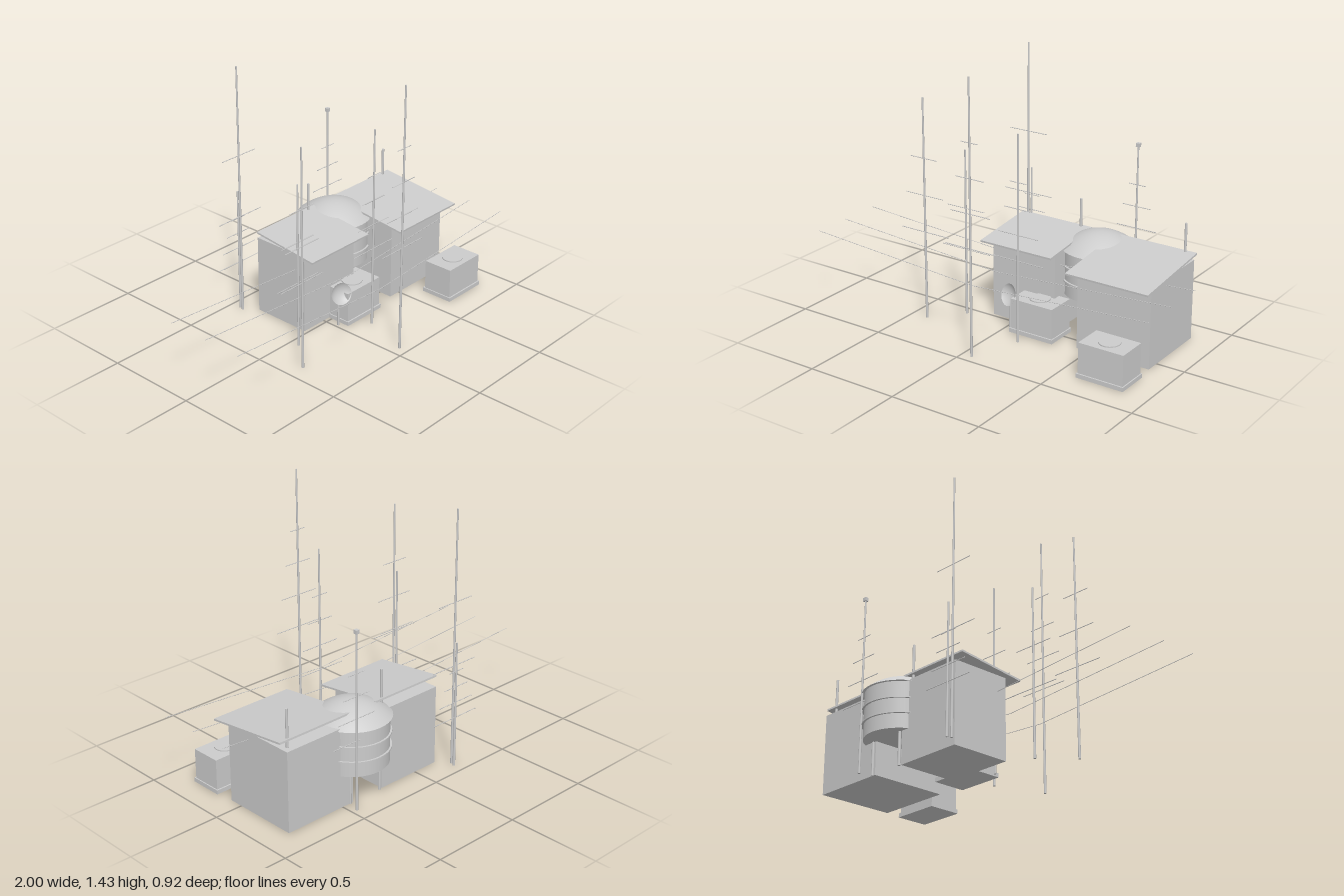
import * as THREE from 'three';

const grey = new THREE.MeshStandardMaterial({ color: 0xcccccc });
const greyDouble = new THREE.MeshStandardMaterial({ color: 0xcccccc, side: THREE.DoubleSide });

export function createModel() {
  const model = new THREE.Group();

  function add(name, geometry, x, y, z, parent = model, material = grey) {
    const mesh = new THREE.Mesh(geometry, material);
    mesh.name = name;
    mesh.position.set(x, y, z);
    parent.add(mesh);
    return mesh;
  }
  const box = (name, w, h, d, x, bottom, z, parent) =>
    add(name, new THREE.BoxGeometry(w, h, d), x, bottom + h / 2, z, parent);
  const post = (name, rTop, rBottom, h, x, bottom, z, parent) =>
    add(name, new THREE.CylinderGeometry(rTop, rBottom, h, 8), x, bottom + h / 2, z, parent);

  // Block with a roof slab that slopes down to the front, and a chimney pipe
  function house(name, x, width, frontZ, chimneyX) {
    const backZ = -0.35, depth = frontZ - backZ, z = (frontZ + backZ) / 2;
    const group = new THREE.Group();
    group.name = name;
    box('walls', width, 0.43, depth, x, 0, z, group);
    const roofZ = z + 0.05;
    const roof = box('roof', width + 0.05, 0.01, depth + 0.06, x, 0.434 - 0.11 * roofZ, roofZ, group);
    roof.rotation.x = 0.11;
    post('chimney', 0.007, 0.007, 0.2, chimneyX, 0.43, -0.313, group);
    model.add(group);
  }
  house('leftHouse', 0.638, 0.415, 0.075, 0.812);
  house('rightHouse', 0.045, 0.38, -0.02, 0.202);

  // Raised round tower with hoops and a shallow dome
  const tower = new THREE.Group();
  tower.name = 'roundTower';
  tower.position.set(0.35, 0, -0.26);
  model.add(tower);
  add('drum', new THREE.CylinderGeometry(0.186, 0.186, 0.245, 40), 0, 0.2975, 0, tower);
  for (const y of [0.255, 0.335])
    add('hoop', new THREE.CylinderGeometry(0.196, 0.196, 0.007, 40), 0, y, 0, tower);
  const domeProfile = [];
  for (let i = 0; i <= 10; i++) {
    const r = 0.2 * (1 - i / 10);
    domeProfile.push(new THREE.Vector2(r, 0.42 + 0.083 * (1 - (r / 0.2) ** 2)));
  }
  add('dome', new THREE.LatheGeometry(domeProfile, 40), 0, 0, 0, tower, greyDouble);
  for (const x of [-0.1, 0.1]) post('towerLeg', 0.008, 0.008, 0.19, x, 0, -0.09, tower);

  // Cabinets on plinths with a round lid
  for (const [x, z] of [[0.175, 0.022], [0.73, 0.257]]) {
    const cabinet = new THREE.Group();
    cabinet.name = 'cabinet';
    cabinet.position.set(x, 0, z);
    box('plinth', 0.262, 0.022, 0.182, 0, 0, 0, cabinet);
    box('body', 0.25, 0.184, 0.166, 0, 0, 0, cabinet);
    add('lid', new THREE.CylinderGeometry(0.055, 0.055, 0.006, 24), 0, 0.187, 0, cabinet);
    model.add(cabinet);
  }

  // Dish on a short post
  post('dishPost', 0.006, 0.006, 0.16, 0.02, 0, 0.066);
  const dishGeometry = new THREE.SphereGeometry(0.085, 24, 8, 0, Math.PI * 2, 0, 0.75);
  dishGeometry.translate(0, -0.085, 0).rotateX(-Math.PI / 2);
  const dish = add('dish', dishGeometry, 0.03, 0.183, 0.065, model, greyDouble);
  dish.rotation.set(-0.3, -0.35, 0, 'YXZ');

  // Tall poles with crossbars that shorten upwards
  function antenna(name, x, z, height, bars) {
    const group = new THREE.Group();
    group.name = name;
    group.position.set(x, 0, z);
    post('pole', 0.0045, 0.0068, height, 0, 0, 0, group);
    for (let i = 0; i < bars; i++) {
      const length = 2 * (0.15 - 0.0335 * i);
      const bar = add('crossbar', new THREE.CylinderGeometry(0.002, 0.002, length, 6),
        0, height * (0.4 + 0.5 * i / bars), 0, group);
      bar.rotation.z = Math.PI / 2;
    }
    model.add(group);
    return group;
  }
  for (const [x, z, height, bars] of [
    [-0.407, 0.212, 1.195, 3],
    [-0.267, 0.052, 0.905, 2],
    [0.15, 0.185, 1.1, 4],
    [0.056, 0.45, 1.43, 4],
    [-0.2, -0.418, 1.375, 2],
    [-0.193, -0.441, 0.685, 4],
  ]) antenna('antenna', x, z, height, bars);
  const mast = antenna('mast', 0.469, -0.418, 0.94, 4);
  box('mastLamp', 0.02, 0.02, 0.02, 0, 0.932, 0, mast);

  // Sagging overhead wires
  const span = Math.hypot(1, 0.065);
  for (const z of [-0.073, 0.156, 0.365])
    for (const side of [-1, 1]) {
      const wire = add('wire', new THREE.CylinderGeometry(0.0015, 0.0015, span, 6), side * 0.5, 0.369, z);
      wire.rotation.z = Math.PI / 2 + side * Math.atan(0.065);
    }

  return model;
}
